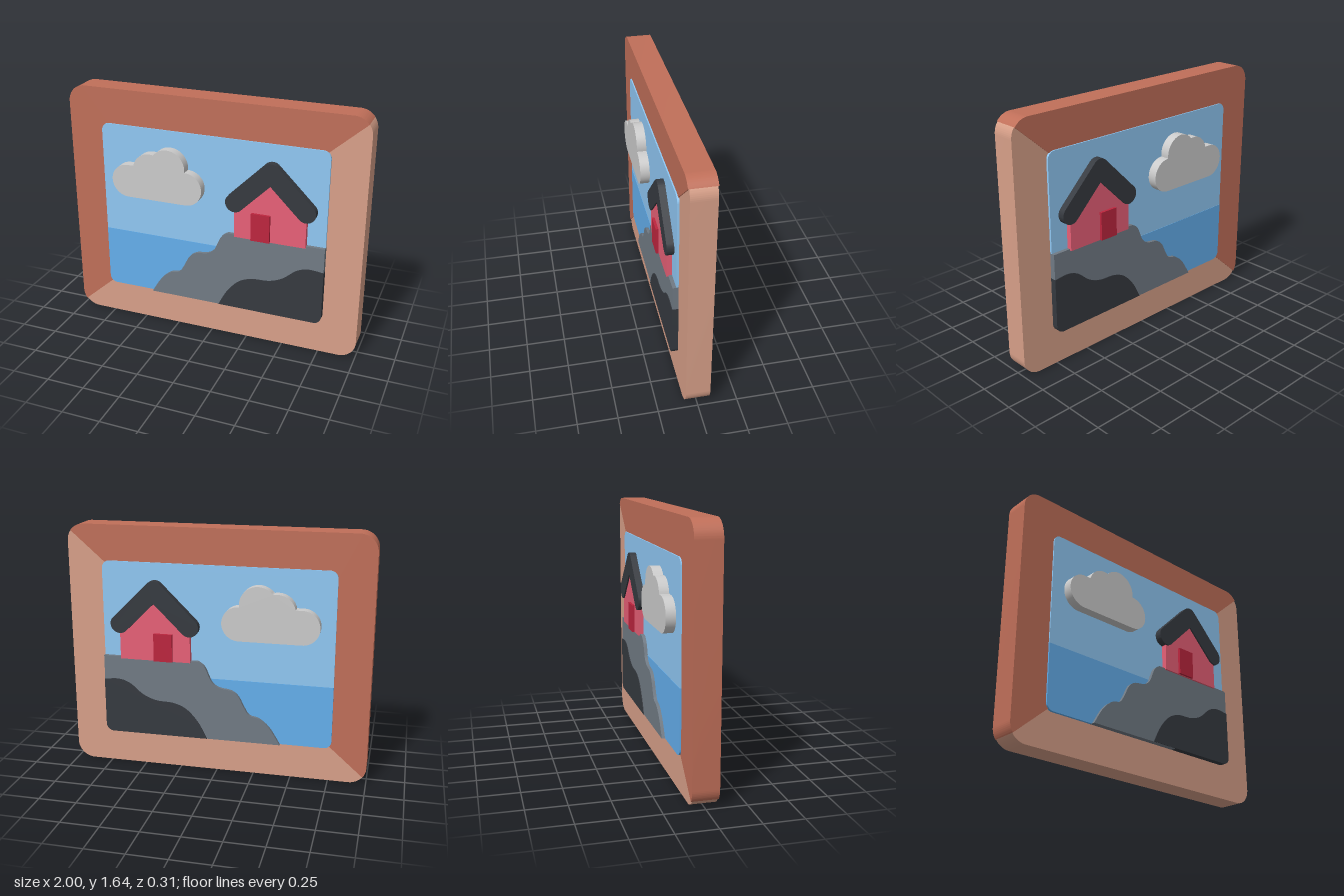
import * as THREE from 'three';
import { toCreasedNormals } from 'three/addons/utils/BufferGeometryUtils.js';

const W = 0.767, LOW = 0.234, HIGH = 1.411, R = 0.05; // picture opening
const HORIZON = 0.655;
const rad = THREE.MathUtils.degToRad;

// Clockwise or anticlockwise arc given in degrees
const arc = (s, x, y, r, from, to) => s.absarc(x, y, r, rad(from), rad(to), to < from);

// Slab cut to a shape, centred on z = 0, so the scene reads from both sides
function slab(name, color, shape, half) {
  const geo = new THREE.ExtrudeGeometry(shape, { depth: half * 2, bevelEnabled: false, curveSegments: 14 });
  geo.translate(0, 0, -half);
  const mesh = new THREE.Mesh(toCreasedNormals(geo, 0.6), new THREE.MeshStandardMaterial({ color }));
  mesh.name = name;
  return mesh;
}

// Half of the frame: left and top sides, ending in mitres at two corners
function frameHalfShape() {
  const s = new THREE.Shape();
  const ox = 0.885, oy = 0.7075, ro = 0.115, ix = W - R, iy = (HIGH - LOW) / 2 - R;
  arc(s, -ox, -oy, ro, 217, 180);
  arc(s, -ox, oy, ro, 180, 90);
  arc(s, ox, oy, ro, 90, 37);
  arc(s, ix, iy, R, 50, 90);
  arc(s, -ix, iy, R, 90, 180);
  arc(s, -ix, -iy, R, 180, 230);
  s.closePath();
  return s;
}

function skyShape() {
  const s = new THREE.Shape();
  s.moveTo(-W, HORIZON);
  s.lineTo(W, HORIZON);
  arc(s, W - R, HIGH - R, R, 0, 90);
  arc(s, -W + R, HIGH - R, R, 90, 180);
  s.closePath();
  return s;
}

function waterShape() {
  const s = new THREE.Shape();
  s.moveTo(W, HORIZON);
  s.lineTo(-W, HORIZON);
  arc(s, -W + R, LOW + R, R, 180, 270);
  arc(s, W - R, LOW + R, R, 270, 360);
  s.closePath();
  return s;
}

// Land with a wavy upper edge, filling the lower right corner of the opening
function landShape(points, top, grow) {
  const s = new THREE.Shape();
  const [first, ...rest] = points.map(([x, y]) => new THREE.Vector2(x, y));
  s.moveTo(first.x, first.y);
  s.splineThru(rest);
  s.lineTo(W + grow, top);
  arc(s, W - R, LOW + R, R + grow, 0, -90);
  s.closePath();
  return s;
}

function cloudShape() {
  const s = new THREE.Shape();
  arc(s, -0.563, 1.053, 0.112, 270, 90);
  arc(s, -0.402, 1.138, 0.12, 167, 78);
  arc(s, -0.28, 1.18, 0.121, 141, -7);
  arc(s, -0.157, 1.053, 0.112, 90, -90);
  s.closePath();
  return s;
}

function polygon(points) {
  return new THREE.Shape(points.map(([x, y]) => new THREE.Vector2(x, y)));
}

// Thick chevron with round ends and a round ridge
function roofShape(cx, eaveX, eaveY, ridgeY, r) {
  const s = new THREE.Shape();
  const a = THREE.MathUtils.radToDeg(Math.atan2(ridgeY - eaveY, eaveX));
  arc(s, cx - eaveX, eaveY, r, a - 90, a - 270);
  arc(s, cx, ridgeY, r, 90 + a, 90 - a);
  arc(s, cx + eaveX, eaveY, r, 90 - a, -90 - a);
  s.lineTo(cx, ridgeY - r / Math.cos(rad(a)));
  s.closePath();
  return s;
}

export function createModel() {
  const model = new THREE.Group();
  model.name = 'framedLandscape';

  // Two interlocking frame halves, the second turned half a circle
  const upper = slab('frameUpperLeft', 0xc06f59, frameHalfShape(), 0.083);
  const lower = slab('frameLowerRight', 0xd8a089, frameHalfShape(), 0.077);
  lower.rotation.z = Math.PI;
  for (const half of [upper, lower]) {
    half.position.y = 0.8225;
    model.add(half);
  }

  // Backdrop
  model.add(slab('sky', 0x90c8f4, skyShape(), 0.091));
  model.add(slab('water', 0x64afed, waterShape(), 0.093));

  // Headland and the darker rock in front of it
  const hill = [[-0.43, LOW], [-0.36, 0.345], [-0.29, 0.405], [-0.225, 0.425], [-0.19, 0.475],
    [-0.15, 0.55], [-0.1, 0.587], [-0.02, 0.602], [0.03, 0.64], [0.075, 0.735], [0.12, 0.772]];
  const rock = [[0.06, LOW], [0.12, 0.345], [0.2, 0.432], [0.29, 0.47], [0.41, 0.48],
    [0.5, 0.515], [0.59, 0.587], [0.67, 0.613], [W, 0.605]];
  model.add(slab('headland', 0x717b85, landShape(hill, 0.772, 0.001), 0.114));
  model.add(slab('rock', 0x363a40, landShape(rock, 0.605, 0.002), 0.118));

  model.add(slab('cloud', 0xcccccc, cloudShape(), 0.153));

  // House
  const house = new THREE.Group();
  house.name = 'house';
  house.add(slab('walls', 0xe86077,
    polygon([[0.17, 0.762], [0.645, 0.762], [0.645, 0.99], [0.408, 1.2], [0.17, 0.99]]), 0.126));
  house.add(slab('door', 0xbd253e,
    polygon([[0.287, 0.763], [0.412, 0.763], [0.412, 0.95], [0.287, 0.95]]), 0.143));
  house.add(slab('roof', 0x363a40, roofShape(0.408, 0.235, 1.002, 1.236, 0.062), 0.136));
  model.add(house);

  return model;
}
